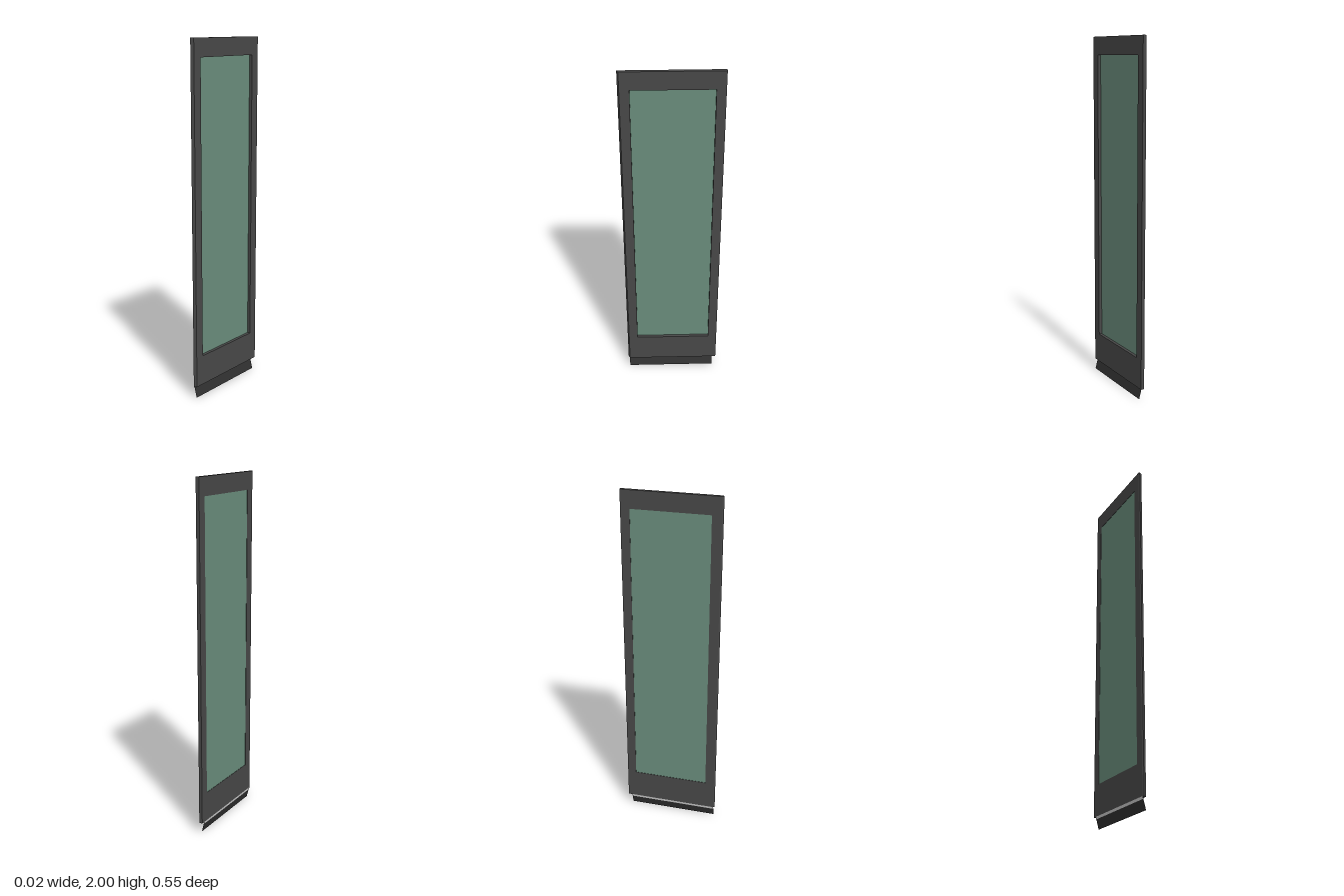
import * as THREE from 'three';

export function createModel() {
  const door = new THREE.Group();
  door.name = 'glazedDoor';

  const frameMat = new THREE.MeshStandardMaterial({ color: 0x484848 });
  const sealMat = new THREE.MeshStandardMaterial({ color: 0x303030, side: THREE.DoubleSide });
  const trimMat = new THREE.MeshStandardMaterial({ color: 0xcccccc });
  const glassMat = new THREE.MeshStandardMaterial({ color: 0x6a8d7c, side: THREE.DoubleSide });

  const half = 0.01;                    // half the leaf thickness
  const bottom = 0.066, top = 2;
  const back = -0.275, front = 0.264;   // leaf edges before the pointed nose
  const paneBack = -0.224, paneFront = 0.212, paneBottom = 0.24, paneTop = 1.9;

  function add(name, geometry, material) {
    const mesh = new THREE.Mesh(geometry, material);
    mesh.name = name;
    door.add(mesh);
    return mesh;
  }

  // Box spanning the leaf thickness between two heights and two depths
  function bar(name, y0, y1, z0, z1) {
    const mesh = add(name, new THREE.BoxGeometry(2 * half, y1 - y0, z1 - z0), frameMat);
    mesh.position.set(0, (y0 + y1) / 2, (z0 + z1) / 2);
  }

  // Flat sheet running along z, from (x0, y0) at its lower edge to (x1, y1); it faces -x
  function sheet(name, x0, y0, x1, y1, z0, z1, material) {
    const g = new THREE.BufferGeometry();
    g.setAttribute('position', new THREE.Float32BufferAttribute(
      [x0, y0, z0, x0, y0, z1, x1, y1, z1, x1, y1, z0], 3));
    g.setIndex([0, 1, 2, 0, 2, 3]);
    g.computeVertexNormals();
    add(name, g, material);
  }

  // Frame: back stile and the two rails
  bar('backStile', bottom, top, back, paneBack);
  bar('topRail', paneTop, top, paneBack, paneFront);
  bar('bottomRail', bottom, paneBottom, paneBack, paneFront);

  // Front stile with an off-centre pointed nose, drawn in plan and extruded upward
  const plan = new THREE.Shape([
    [-half, -paneFront], [-half, -front], [-0.006, -0.273], [half, -front], [half, -paneFront],
  ].map(([x, y]) => new THREE.Vector2(x, y)));
  const stile = new THREE.ExtrudeGeometry(plan, { depth: top - bottom, bevelEnabled: false });
  stile.rotateX(-Math.PI / 2);
  stile.translate(0, bottom, 0);
  add('frontStile', stile, frameMat);

  // Glass set close to the left-hand-negative face, leaving a deep reveal on the other
  sheet('glassPane', -0.008, paneBottom, -0.008, paneTop, paneBack, paneFront, glassMat);

  // Slanted sweep below the leaf, with a pale retaining strip on one side
  sheet('bottomSweep', 0.008, 0, -0.009, bottom, -0.252, 0.265, sealMat);
  sheet('sweepTrim', -0.0085, 0.053, -0.0105, bottom + 0.001, -0.252, 0.265, trimMat);

  return door;
}
